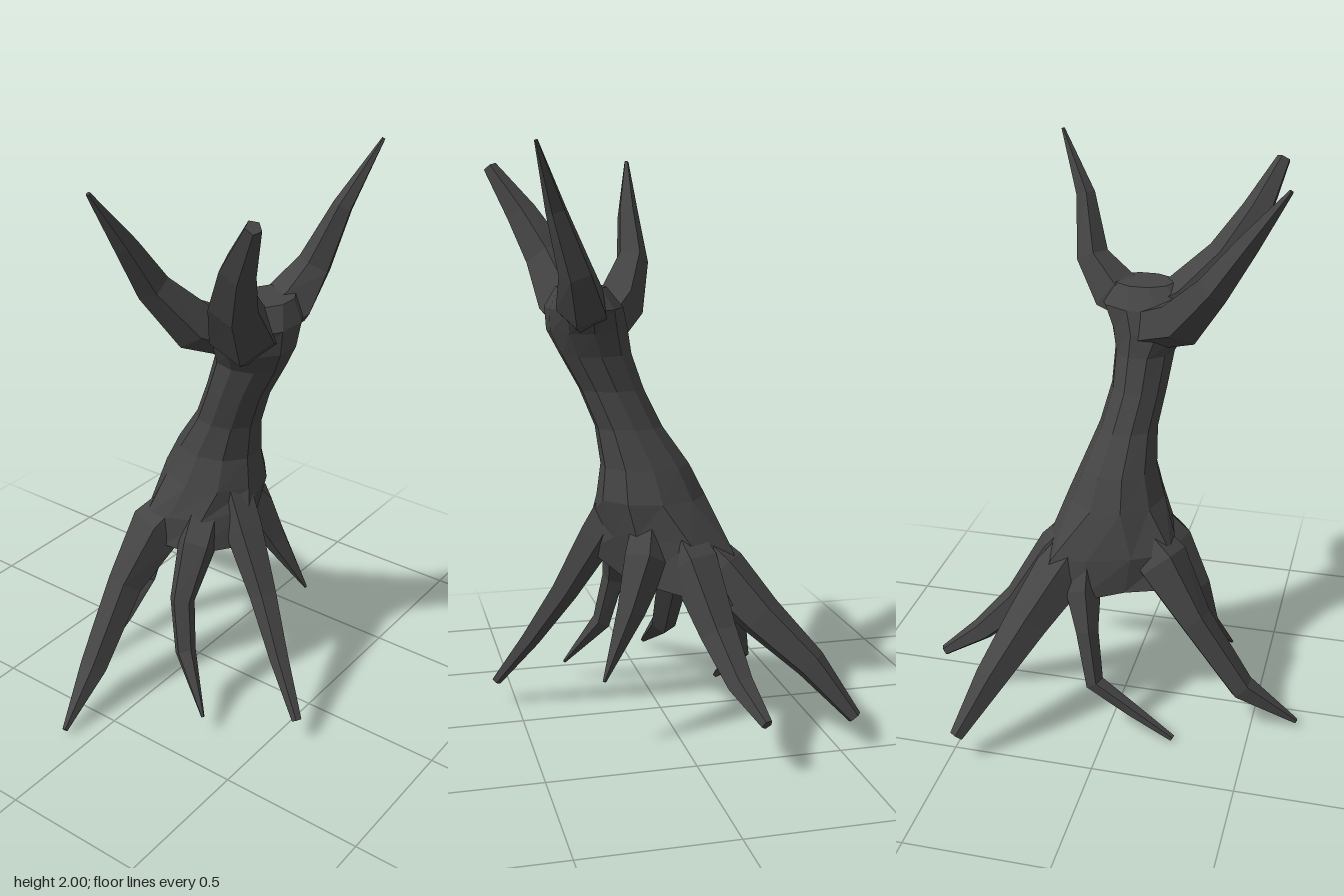
import * as THREE from 'three';

// Skin a list of rings (arrays of Vector3, counter-clockwise around the direction of travel)
function skin(rings) {
  const n = rings[0].length, pos = [];
  const tri = (...pts) => pts.forEach(p => pos.push(p.x, p.y, p.z));
  const centre = r => r.reduce((s, p) => s.add(p), new THREE.Vector3()).divideScalar(n);
  const first = rings[0], last = rings[rings.length - 1];
  const c0 = centre(first), c1 = centre(last);
  for (let j = 0; j < n; j++) {
    const k = (j + 1) % n;
    for (let i = 0; i < rings.length - 1; i++) {
      const a = rings[i], b = rings[i + 1];
      tri(a[j], a[k], b[k]);
      tri(a[j], b[k], b[j]);
    }
    tri(c0, first[k], first[j]);
    tri(c1, last[j], last[k]);
  }
  const g = new THREE.BufferGeometry();
  g.setAttribute('position', new THREE.Float32BufferAttribute(pos, 3));
  g.computeVertexNormals();
  return g;
}

// Tapered crooked limb through points [x, y, z, radius]
function limb(points, sides = 5) {
  const p = points.map(q => new THREE.Vector3(q[0], q[1], q[2]));
  const last = p.length - 1;
  const ref = p[last].clone().sub(p[0]).cross(new THREE.Vector3(0, 1, 0)).normalize();
  return skin(p.map((c, i) => {
    const t = p[Math.min(i + 1, last)].clone().sub(p[Math.max(i - 1, 0)]).normalize();
    const u = ref.clone().addScaledVector(t, -ref.dot(t)).normalize();
    const v = t.clone().cross(u);
    return Array.from({ length: sides }, (_, j) => {
      const a = (j + 0.25) / sides * Math.PI * 2, r = points[i][3];
      return c.clone().addScaledVector(u, Math.cos(a) * r).addScaledVector(v, Math.sin(a) * r);
    });
  }));
}

// Level oval trunk section
function oval(y, x0, x1, z0, z1) {
  return Array.from({ length: 10 }, (_, j) => {
    const a = (j - 0.5) / 10 * Math.PI * 2;
    return new THREE.Vector3(
      (x0 + x1) / 2 + Math.sin(a) * (x1 - x0) / 2, y,
      (z0 + z1) / 2 + Math.cos(a) * (z1 - z0) / 2);
  });
}

export function createModel() {
  const group = new THREE.Group();
  const bark = new THREE.MeshStandardMaterial({ color: 0x444444 });
  bark.name = 'charred bark';
  bark.flatShading = true;
  const add = (name, geometry) => {
    const m = new THREE.Mesh(geometry, bark);
    m.name = name;
    group.add(m);
  };

  // Flared foot of the trunk: lower edge and shoulder, webbed out towards the roots
  const edge = [
    [-0.03, 0.60, 0.25], [0.10, 0.53, 0.15], [0.22, 0.55, 0.14], [0.33, 0.50, -0.06], [0.30, 0.46, -0.24],
    [0.12, 0.50, -0.23], [-0.04, 0.53, -0.18], [-0.22, 0.54, -0.13], [-0.19, 0.58, -0.01], [-0.18, 0.58, 0.11]];
  const shoulder = [
    [-0.03, 0.74, 0.24], [0.10, 0.68, 0.19], [0.19, 0.70, 0.13], [0.26, 0.68, -0.04], [0.22, 0.64, -0.20],
    [0.09, 0.65, -0.20], [-0.06, 0.66, -0.17], [-0.19, 0.66, -0.10], [-0.18, 0.69, 0.0], [-0.15, 0.70, 0.12]];
  const toRing = pts => pts.map(p => new THREE.Vector3(...p));

  // The first section is raised to hollow the underside
  add('trunk', skin([
    oval(0.62, -0.06, 0.16, -0.12, 0.08),
    toRing(edge),
    toRing(shoulder),
    oval(0.81, -0.135, 0.215, -0.145, 0.235),
    oval(0.92, -0.10, 0.17, -0.09, 0.22),
    oval(1.05, -0.09, 0.12, 0.00, 0.235),
    oval(1.18, -0.11, 0.09, 0.06, 0.285),
    oval(1.30, -0.125, 0.09, 0.10, 0.35),
    oval(1.38, -0.18, 0.11, 0.11, 0.39),
    oval(1.46, -0.20, 0.15, 0.13, 0.395),
    oval(1.53, -0.11, 0.11, 0.19, 0.36),
  ]));

  // Three bare branches
  const branches = {
    frontRightBranch: [[0.0, 1.38, 0.25, 0.08], [-0.16, 1.46, 0.29, 0.11], [-0.285, 1.61, 0.345, 0.08],
      [-0.37, 1.76, 0.42, 0.058], [-0.44, 1.925, 0.52, 0.026]],
    backRightBranch: [[-0.02, 1.38, 0.2, 0.08], [-0.17, 1.45, 0.11, 0.09], [-0.29, 1.60, 0.035, 0.06],
      [-0.40, 1.76, 0.025, 0.04], [-0.53, 1.945, 0.0, 0.008]],
    leftBranch: [[-0.02, 1.42, 0.25, 0.07], [0.11, 1.475, 0.29, 0.09], [0.20, 1.59, 0.325, 0.06],
      [0.24, 1.79, 0.395, 0.035], [0.34, 2.0, 0.47, 0.006]],
  };

  // Stilt roots spreading to the ground
  const roots = {
    rightRoot: [[0.0, 0.74, 0.0, 0.07], [-0.15, 0.61, -0.075, 0.10], [-0.28, 0.42, -0.12, 0.065],
      [-0.46, 0.16, -0.125, 0.05], [-0.66, 0.02, -0.09, 0.01]],
    backRoot: [[0.12, 0.68, -0.10, 0.07], [0.11, 0.52, -0.19, 0.065], [0.08, 0.40, -0.25, 0.042],
      [0.045, 0.21, -0.285, 0.035], [-0.09, 0.11, -0.28, 0.025], [-0.24, 0.01, -0.28, 0.012]],
    backLeftRoot: [[0.10, 0.72, -0.03, 0.06], [0.20, 0.56, -0.16, 0.10], [0.29, 0.42, -0.28, 0.08],
      [0.38, 0.27, -0.43, 0.058], [0.47, 0.10, -0.56, 0.025]],
    leftRoot: [[0.10, 0.76, 0.0, 0.06], [0.23, 0.60, -0.06, 0.09], [0.37, 0.40, -0.11, 0.065],
      [0.51, 0.27, -0.145, 0.045], [0.645, 0.185, -0.19, 0.02]],
    frontLeftRoot: [[0.10, 0.76, 0.06, 0.06], [0.20, 0.62, 0.10, 0.08], [0.25, 0.46, 0.165, 0.05],
      [0.315, 0.245, 0.27, 0.006]],
    frontRoot: [[0.0, 0.83, 0.13, 0.07], [-0.03, 0.66, 0.22, 0.07], [-0.07, 0.45, 0.335, 0.05],
      [-0.13, 0.26, 0.45, 0.035], [-0.19, 0.085, 0.57, 0.018]],
    frontRightRoot: [[-0.04, 0.74, 0.08, 0.07], [-0.16, 0.61, 0.11, 0.07], [-0.25, 0.43, 0.115, 0.045],
      [-0.285, 0.25, 0.155, 0.038], [-0.36, 0.07, 0.29, 0.006]],
  };

  for (const set of [branches, roots])
    for (const [name, points] of Object.entries(set)) add(name, limb(points));

  return group;
}
